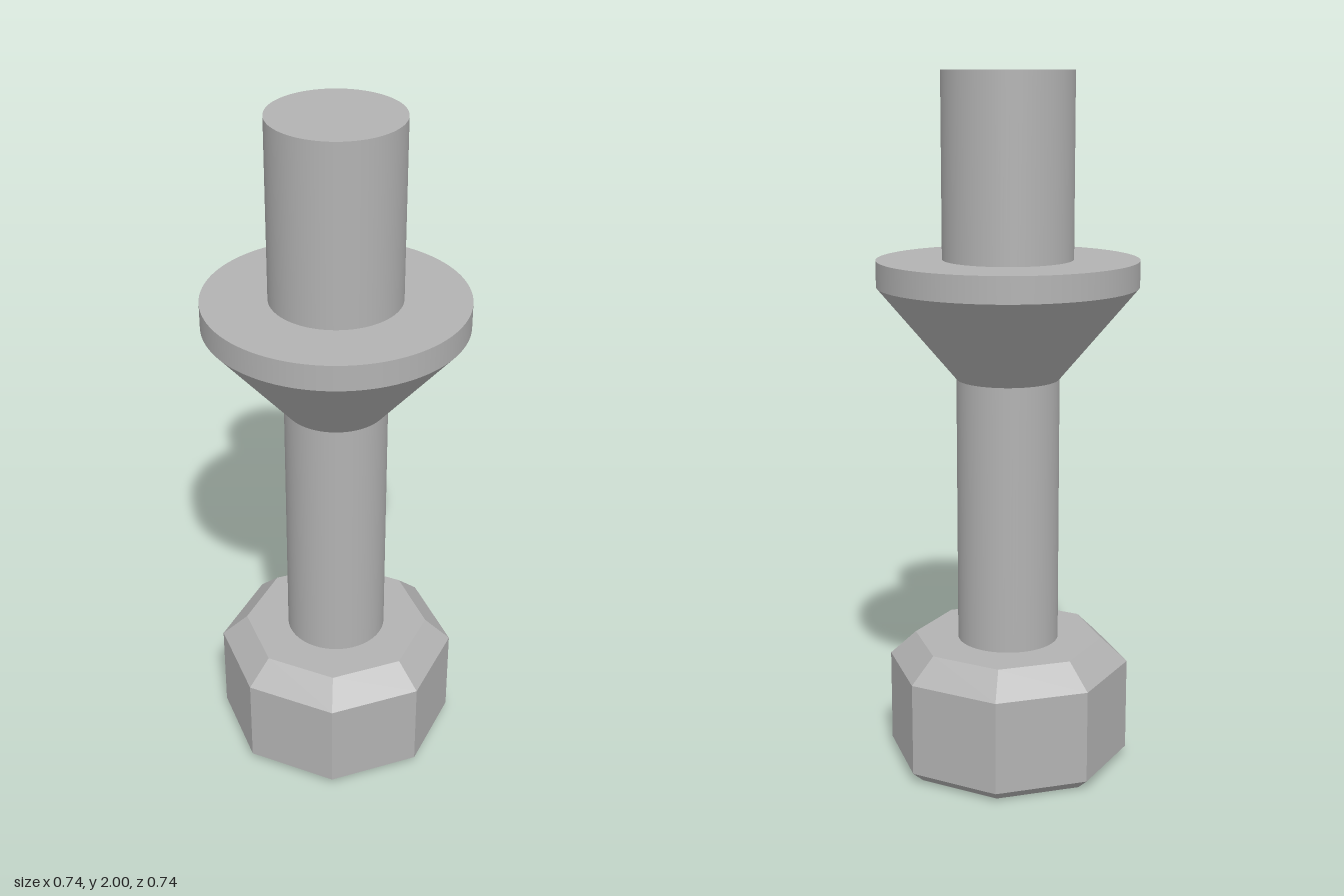
import * as THREE from 'three';

export function createModel() {
  const model = new THREE.Group();
  model.name = 'boltShapedPin';
  const steel = new THREE.MeshStandardMaterial({ color: 0xb2b2b2 });
  steel.name = 'steelGrey';

  const add = (name, geometry, y = 0) => {
    const mesh = new THREE.Mesh(geometry, steel);
    mesh.name = name;
    mesh.position.y = y;
    model.add(mesh);
  };

  // Round section between two heights, smooth sides with sharp rims
  const round = (name, bottomRadius, topRadius, y0, y1, open = false) =>
    add(name, new THREE.CylinderGeometry(topRadius, bottomRadius, y1 - y0, 96, 1, open), (y0 + y1) / 2);

  // Octagonal foot, chamfered above and below, with flat facets
  const profile = [[0, 0], [0.318, 0], [0.352, 0.03], [0.352, 0.3], [0.276, 0.37], [0, 0.37]]
    .map(([r, y]) => new THREE.Vector2(r, y));
  const foot = new THREE.LatheGeometry(profile, 8).toNonIndexed();
  foot.computeVertexNormals();
  add('octagonalFoot', foot);

  // Shaft, flared collar with its rim, and upper pin
  round('shaft', 0.147, 0.147, 0.37, 1.145, true);
  round('collarCone', 0.147, 0.37, 1.145, 1.41, true);
  round('collarRim', 0.37, 0.37, 1.41, 1.484);
  round('upperPin', 0.185, 0.185, 1.484, 2);

  return model;
}
